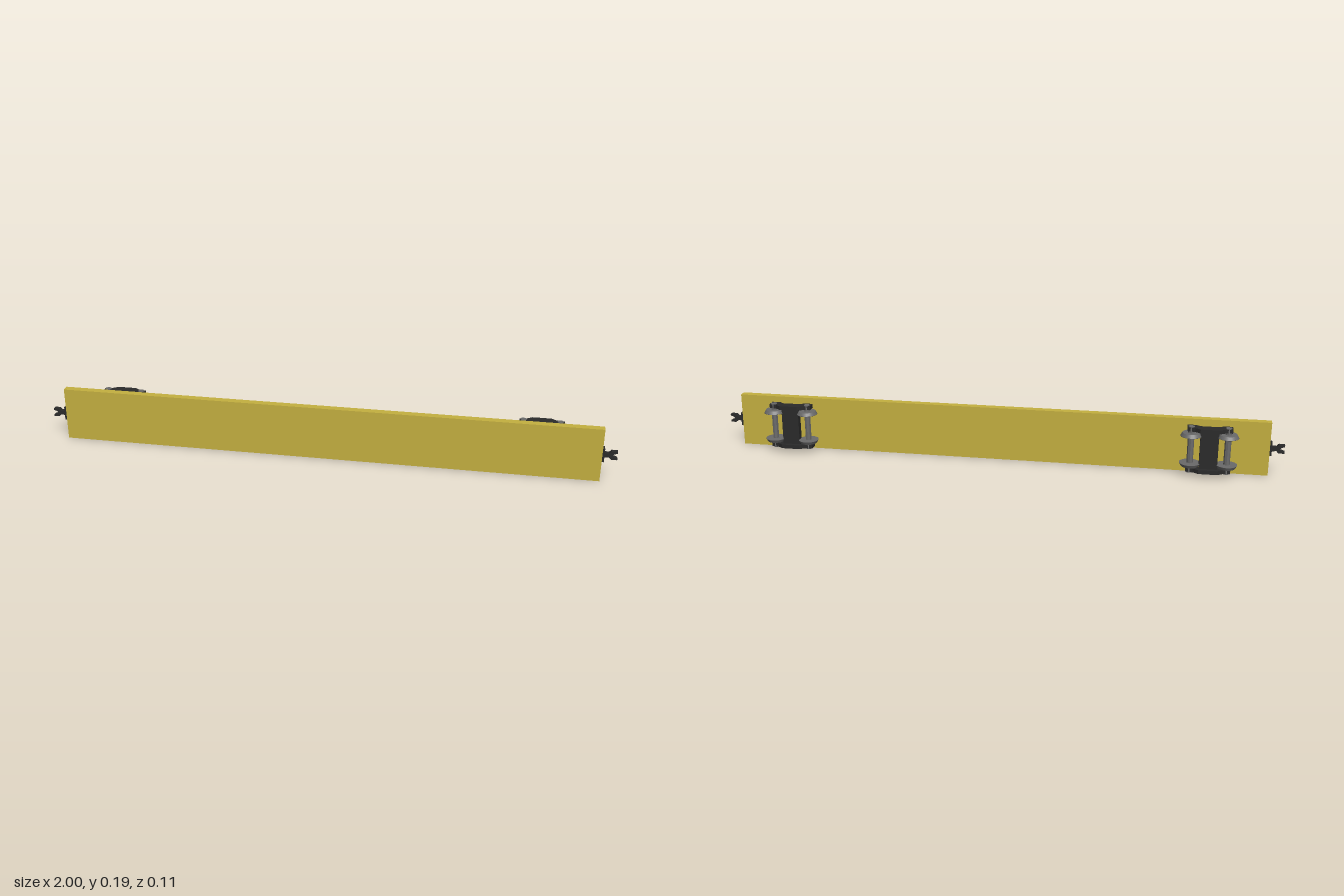
import * as THREE from 'three';

const yellow = new THREE.MeshStandardMaterial({ color: 0xc4b040 });
const dark = new THREE.MeshStandardMaterial({ color: 0x2a2a2a, flatShading: true });
const steel = new THREE.MeshStandardMaterial({ color: 0x6a6a6a, flatShading: true });
const wheelSteel = new THREE.MeshStandardMaterial({ color: 0x6a6a6a });
const MID = 0.096; // height of the wagon's centre line, which lies on its side

function add(parent, name, geometry, material, x = 0, y = 0, z = 0) {
  const mesh = new THREE.Mesh(geometry, material);
  mesh.name = name;
  mesh.position.set(x, y, z);
  parent.add(mesh);
  return mesh;
}

function polygon(points) {
  return new THREE.Shape(points.map(([x, y]) => new THREE.Vector2(x, y)));
}

// Arched side frame: outline in x and -z, thickness along y
function sideFrameGeometry(thickness) {
  const half = [[0.032, 0.041], [0.05, 0.028], [0.076, 0.024], [0.076, -0.007], [0.046, -0.007], [0.032, 0.004]];
  const mirrored = half.map(([x, s]) => [-x, s]).reverse();
  const geometry = new THREE.ExtrudeGeometry(polygon([...half, ...mirrored]), { depth: thickness, bevelEnabled: false });
  return geometry.rotateX(-Math.PI / 2).translate(0, -thickness / 2, 0);
}

function createBogie() {
  const bogie = new THREE.Group();
  bogie.name = 'bogie';
  // Mounting plate, pivot and cross beam
  add(bogie, 'mountingPlate', new THREE.BoxGeometry(0.028, 0.129, 0.008), dark, 0, 0, 0.024);
  add(bogie, 'pivot', new THREE.BoxGeometry(0.028, 0.03, 0.034), dark, 0, 0, 0.008);
  add(bogie, 'bolster', new THREE.BoxGeometry(0.062, 0.146, 0.022), dark, 0, 0, -0.016);
  for (const side of [-1, 1]) {
    add(bogie, 'sideFrame', sideFrameGeometry(0.014), dark, 0, side * 0.073, 0);
  }
  // Two wheelsets, flanges facing inward
  for (const x of [-0.062, 0.062]) {
    const wheelset = new THREE.Group();
    wheelset.name = 'wheelset';
    wheelset.position.set(x, 0, -0.016);
    add(wheelset, 'axle', new THREE.CylinderGeometry(0.011, 0.011, 0.165, 8), steel);
    for (const side of [-1, 1]) {
      const profile = [[0, -0.006], [0.036, -0.006], [0.036, -0.005], [0.036, -0.005], [0.03, 0.006], [0.03, 0.006], [0, 0.006]];
      const wheel = new THREE.LatheGeometry(profile.map(([r, h]) => new THREE.Vector2(r, h)), 24);
      const mesh = add(wheelset, 'wheel', wheel, wheelSteel, 0, side * 0.054, 0);
      if (side < 0) mesh.rotation.x = Math.PI;
    }
    bogie.add(wheelset);
  }
  return bogie;
}

function createCoupler() {
  const coupler = new THREE.Group();
  coupler.name = 'coupler';
  add(coupler, 'bufferPlate', new THREE.BoxGeometry(0.008, 0.048, 0.025), dark, 0.003, 0, 0);
  // Shank opening into a forked jaw
  const outline = [
    [0, -0.009], [0.022, -0.007], [0.03, -0.015], [0.05, -0.015], [0.05, -0.009], [0.038, -0.005],
    [0.034, 0], [0.038, 0.005], [0.05, 0.009], [0.05, 0.015], [0.03, 0.015], [0.022, 0.007], [0, 0.009],
  ];
  const jaw = new THREE.ExtrudeGeometry(polygon(outline), { depth: 0.016, bevelEnabled: false });
  add(coupler, 'jaw', jaw.translate(0, 0, -0.008), dark);
  return coupler;
}

export function createModel() {
  const model = new THREE.Group();
  model.name = 'flatWagon';
  add(model, 'deck', new THREE.BoxGeometry(1.9, 0.191, 0.027), yellow, 0, 0.0955, 0.0405);
  for (const side of [-1, 1]) {
    const bogie = createBogie();
    bogie.position.set(side * 0.745, MID, 0);
    model.add(bogie);

    const coupler = createCoupler();
    coupler.position.set(side * 0.95, MID, 0.0405);
    if (side < 0) coupler.rotation.y = Math.PI;
    model.add(coupler);
  }
  return model;
}
